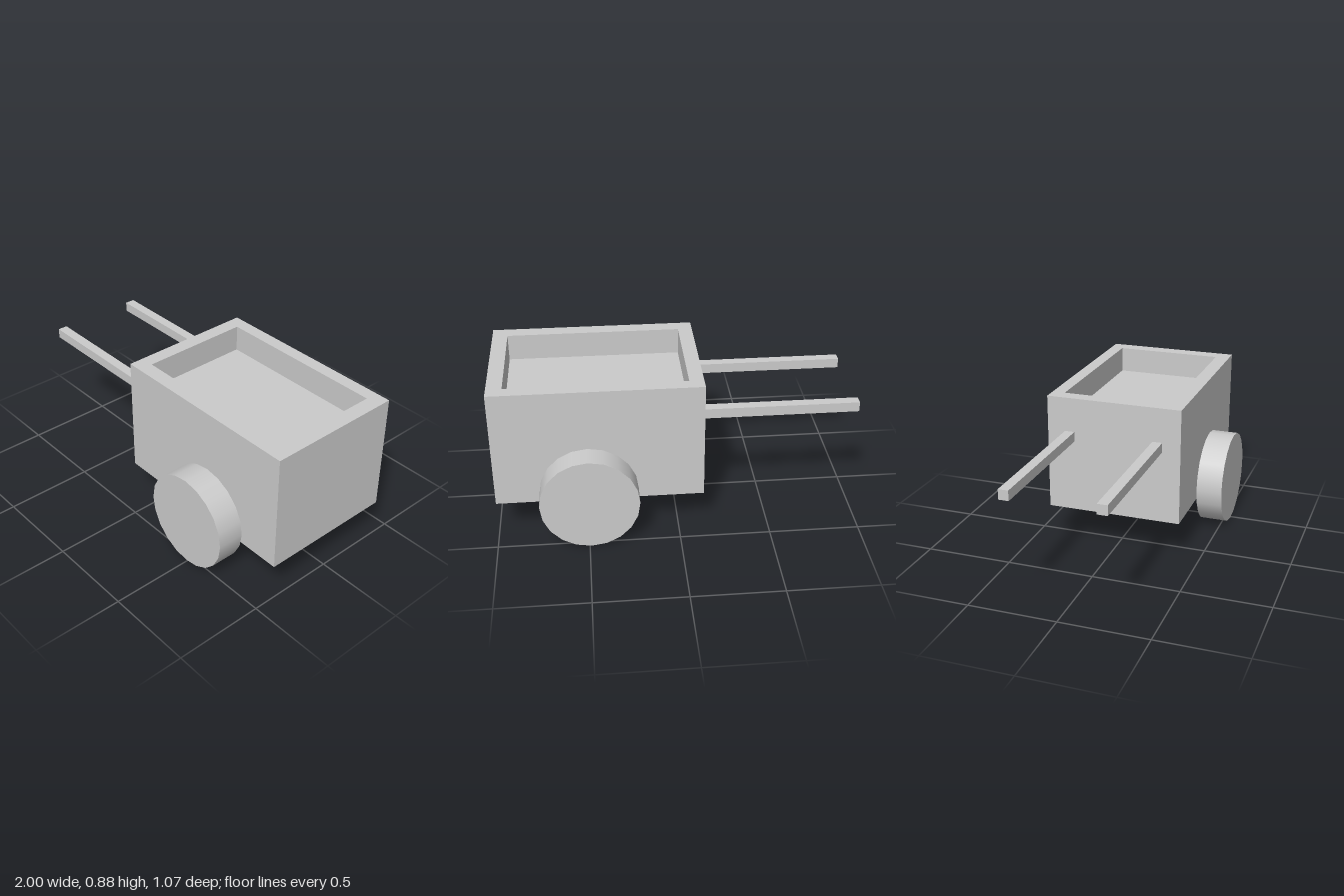
import * as THREE from 'three';

const material = new THREE.MeshStandardMaterial({ color: 0xcccccc });
const flatMaterial = new THREE.MeshStandardMaterial({ color: 0xcccccc, flatShading: true });

function addMesh(group, name, geometry, mat, x = 0, y = 0, z = 0) {
  const mesh = new THREE.Mesh(geometry, mat);
  mesh.name = name;
  mesh.position.set(x, y, z);
  group.add(mesh);
  return mesh;
}

// Closed tray: rectangular loops run up the outside, over the rim and down to the floor
function trayGeometry(loops) {
  const points = [];
  for (const { y, x0, x1, z0, z1 } of loops) {
    points.push(x0, y, z1, x1, y, z1, x1, y, z0, x0, y, z0);
  }
  const index = [0, 2, 1, 0, 3, 2]; // underside
  for (let l = 0; l < loops.length - 1; l++) {
    for (let i = 0; i < 4; i++) {
      const a = l * 4 + i, b = l * 4 + (i + 1) % 4;
      index.push(a, b, b + 4, a, b + 4, a + 4);
    }
  }
  const f = (loops.length - 1) * 4;
  index.push(f, f + 1, f + 2, f, f + 2, f + 3); // inner floor
  const indexed = new THREE.BufferGeometry();
  indexed.setAttribute('position', new THREE.Float32BufferAttribute(points, 3));
  indexed.setIndex(index);
  const geometry = indexed.toNonIndexed();
  geometry.computeVertexNormals();
  return geometry;
}

export function createModel() {
  const cart = new THREE.Group();
  cart.name = 'handcart';

  // Cart body with a shallow recess in the top
  const outer = { x0: -0.14, x1: 1, z0: -0.395, z1: 0.383 };
  const inner = { x0: -0.06, x1: 0.915, z0: -0.322, z1: 0.3 };
  addMesh(cart, 'cartBody', trayGeometry([
    { y: 0.215, ...outer },
    { y: 0.885, ...outer },
    { y: 0.885, ...inner },
    { y: 0.735, ...inner },
  ]), flatMaterial);

  // Solid wheels on both sides
  const wheelGeometry = new THREE.CylinderGeometry(0.27, 0.27, 0.15, 20).rotateX(Math.PI / 2);
  for (const [name, z] of [['frontWheel', 0.459], ['backWheel', -0.459]]) {
    addMesh(cart, name, wheelGeometry, material, 0.49, 0.27, z);
  }

  // Two straight handles
  const handleGeometry = new THREE.BoxGeometry(0.86, 0.056, 0.056);
  for (const [name, z] of [['frontHandle', 0.25], ['backHandle', -0.264]]) {
    addMesh(cart, name, handleGeometry, flatMaterial, -0.57, 0.66, z);
  }

  return cart;
}
